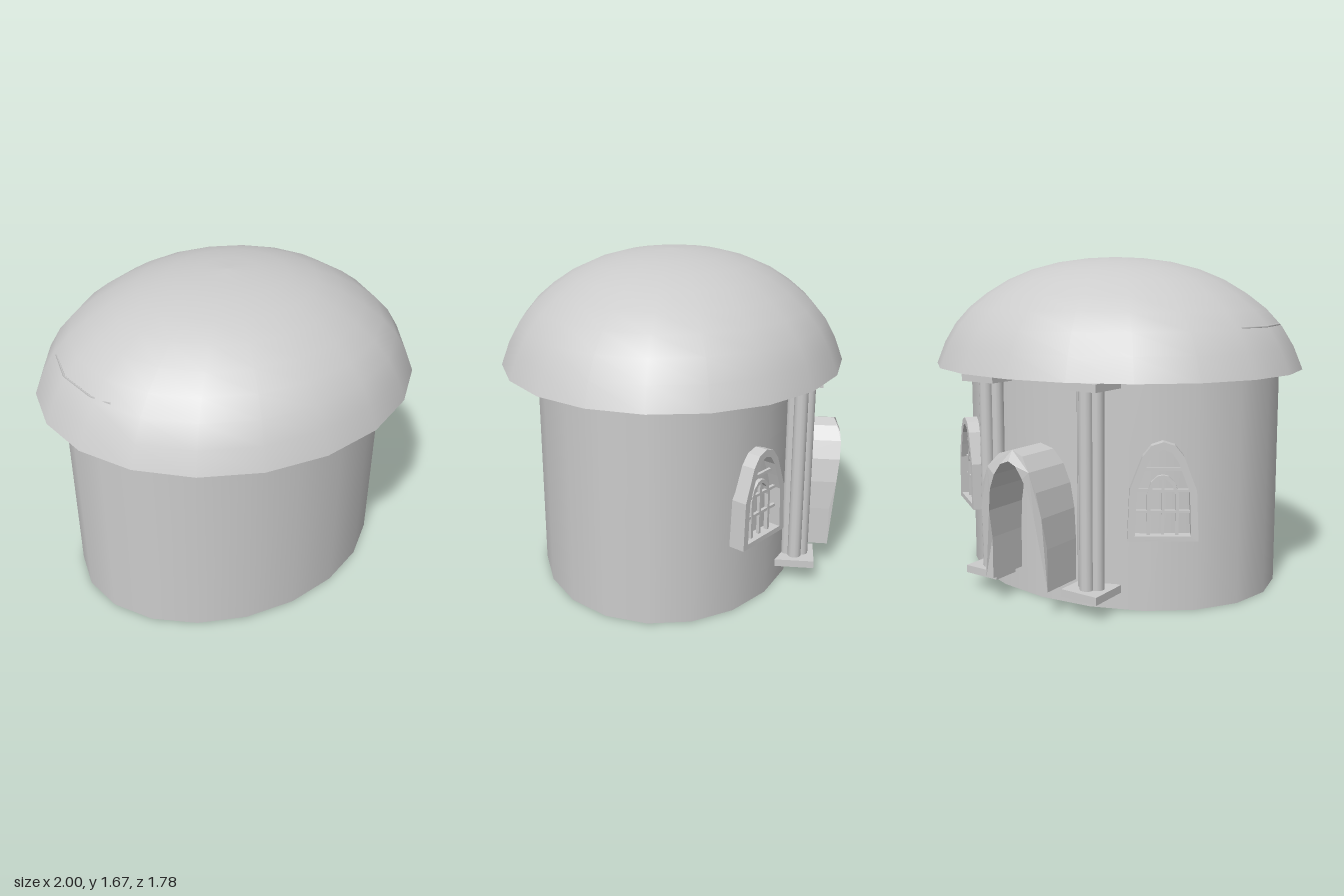
import * as THREE from 'three';

const material = new THREE.MeshStandardMaterial({ color: 0xcccccc, side: THREE.DoubleSide });

function add(parent, name, geometry, x = 0, y = 0, z = 0) {
  const mesh = new THREE.Mesh(geometry, material);
  mesh.name = name;
  mesh.position.set(x, y, z);
  parent.add(mesh);
  return mesh;
}

// Mirrors the right half of an outline (bottom to apex) into a full arch
const mirror = (half) => [
  ...half,
  ...half.filter(([x]) => x > 0).reverse().map(([x, y]) => [-x, y]),
];
const vectors = (pts) => pts.map(([x, y]) => new THREE.Vector2(x, y));

// Piecewise linear lookup
function lerpTable(table, t) {
  for (let i = 1; i < table.length; i++) {
    const [a, va] = table[i - 1], [b, vb] = table[i];
    if (t <= b) return va + (vb - va) * Math.max(0, (t - a) / (b - a));
  }
  return table[table.length - 1][1];
}

function createDome() {
  const dome = new THREE.Group();
  dome.name = 'domeRoof';
  const profile = [[1, 1.105], [0.952, 1.22], [0.89, 1.32], [0.81, 1.405], [0.71, 1.48],
    [0.59, 1.55], [0.46, 1.602], [0.31, 1.64], [0.155, 1.66], [0, 1.667]];
  add(dome, 'domeShell', new THREE.LatheGeometry(vectors(profile), 20));
  add(dome, 'domeUnderside', new THREE.CircleGeometry(1, 20).rotateX(Math.PI / 2), 0, 1.105, 0);
  dome.scale.z = 0.885;
  dome.position.z = 0.007;
  return dome;
}

// Clustered column of four shafts between square slabs
function createColumn(x) {
  const column = new THREE.Group();
  column.name = 'column';
  for (const y of [0.103, 1.08]) add(column, 'columnSlab', new THREE.BoxGeometry(0.2, 0.038, 0.2), 0, y, 0);
  for (let i = 0; i < 4; i++) {
    const a = i * Math.PI / 2;
    add(column, 'columnShaft', new THREE.CylinderGeometry(0.034, 0.034, 0.96, 12),
      0.036 * Math.cos(a), 0.59, 0.036 * Math.sin(a));
  }
  column.position.set(x, 0, -0.668);
  return column;
}

// Deep door surround whose front edge swells outward toward the top
function createDoorway() {
  const outer = [[0.19, 0.125], [0.19, 0.33], [0.183, 0.48], [0.162, 0.6], [0.125, 0.69], [0.07, 0.755], [0, 0.777]];
  const inner = [[0.145, 0.125], [0.145, 0.33], [0.138, 0.47], [0.118, 0.58], [0.085, 0.655], [0.045, 0.71], [0, 0.727]];
  const shape = new THREE.Shape(vectors([...mirror(outer), ...mirror(inner).reverse()]));
  const geometry = new THREE.ExtrudeGeometry(shape, { depth: 1, bevelEnabled: false });
  const front = [[0.125, 0.845], [0.33, 0.845], [0.48, 0.875], [0.65, 0.892], [0.72, 0.89], [0.78, 0.855]];
  const p = geometry.attributes.position;
  for (let i = 0; i < p.count; i++) p.setZ(i, p.getZ(i) > 0.5 ? lerpTable(front, p.getY(i)) : 0.6);
  geometry.computeVertexNormals();
  const group = new THREE.Group();
  group.name = 'doorway';
  add(group, 'doorSurround', geometry);
  group.rotation.y = Math.PI;
  group.position.x = -0.015;
  return group;
}

// Arched window with a frame, cross bars and a small inner arch
function createWindow(side) {
  const win = new THREE.Group();
  win.name = side > 0 ? 'leftWindow' : 'rightWindow';
  const outer = [[0.165, 0], [0.155, 0.24], [0.125, 0.32], [0.095, 0.4], [0.055, 0.45], [0, 0.468]];
  const inner = [[0.13, 0.025], [0.122, 0.23], [0.095, 0.305], [0.068, 0.375], [0.038, 0.418], [0, 0.432]];
  const frame = new THREE.Shape(vectors(mirror(outer)));
  frame.holes.push(new THREE.Path(vectors(mirror(inner).reverse())));
  add(win, 'windowFrame', new THREE.ExtrudeGeometry(frame, { depth: 0.1, bevelEnabled: false }), 0, 0, -0.1);

  for (const [y, w] of [[0.135, 0.26], [0.235, 0.245], [0.335, 0.175]])
    add(win, 'windowCrossBar', new THREE.BoxGeometry(w, 0.014, 0.016), 0, y, -0.035);
  add(win, 'windowCentreBar', new THREE.BoxGeometry(0.014, 0.28, 0.016), 0, 0.16, -0.035);

  const archOuter = [[0.074, 0.02], [0.074, 0.22], [0.055, 0.275], [0.025, 0.303], [0, 0.308]];
  const archInner = [[0.058, 0.02], [0.058, 0.215], [0.043, 0.26], [0.02, 0.285], [0, 0.29]];
  const arch = new THREE.Shape(vectors([...mirror(archOuter), ...mirror(archInner).reverse()]));
  add(win, 'windowInnerArch', new THREE.ExtrudeGeometry(arch, { depth: 0.02, bevelEnabled: false }), 0, 0, -0.045);

  win.position.set(side * 0.62, 0.355, -0.51);
  win.rotation.y = Math.PI - side * 0.6;
  return win;
}

export function createModel() {
  const model = new THREE.Group();
  model.name = 'roundHouse';

  // Oval wall drum
  const wall = add(model, 'wall', new THREE.CylinderGeometry(1, 1, 1.108, 20), -0.012, 0.554, 0.03);
  wall.scale.set(0.873, 1, 0.68);

  model.add(createDome());

  // Thin ridge lying on one side of the roof
  const ridge = new THREE.CurvePath();
  const pts = [[-0.84, -0.2], [-0.882, 0], [-0.845, 0.22], [-0.79, 0.32]].map(([x, z]) => new THREE.Vector3(x, 1.33, z));
  for (let i = 1; i < pts.length; i++) ridge.add(new THREE.LineCurve3(pts[i - 1], pts[i]));
  add(model, 'roofRidge', new THREE.TubeGeometry(ridge, 24, 0.006, 4));

  model.add(createDoorway(), createColumn(0.28), createColumn(-0.325));
  for (const side of [1, -1]) model.add(createWindow(side));
  return model;
}
